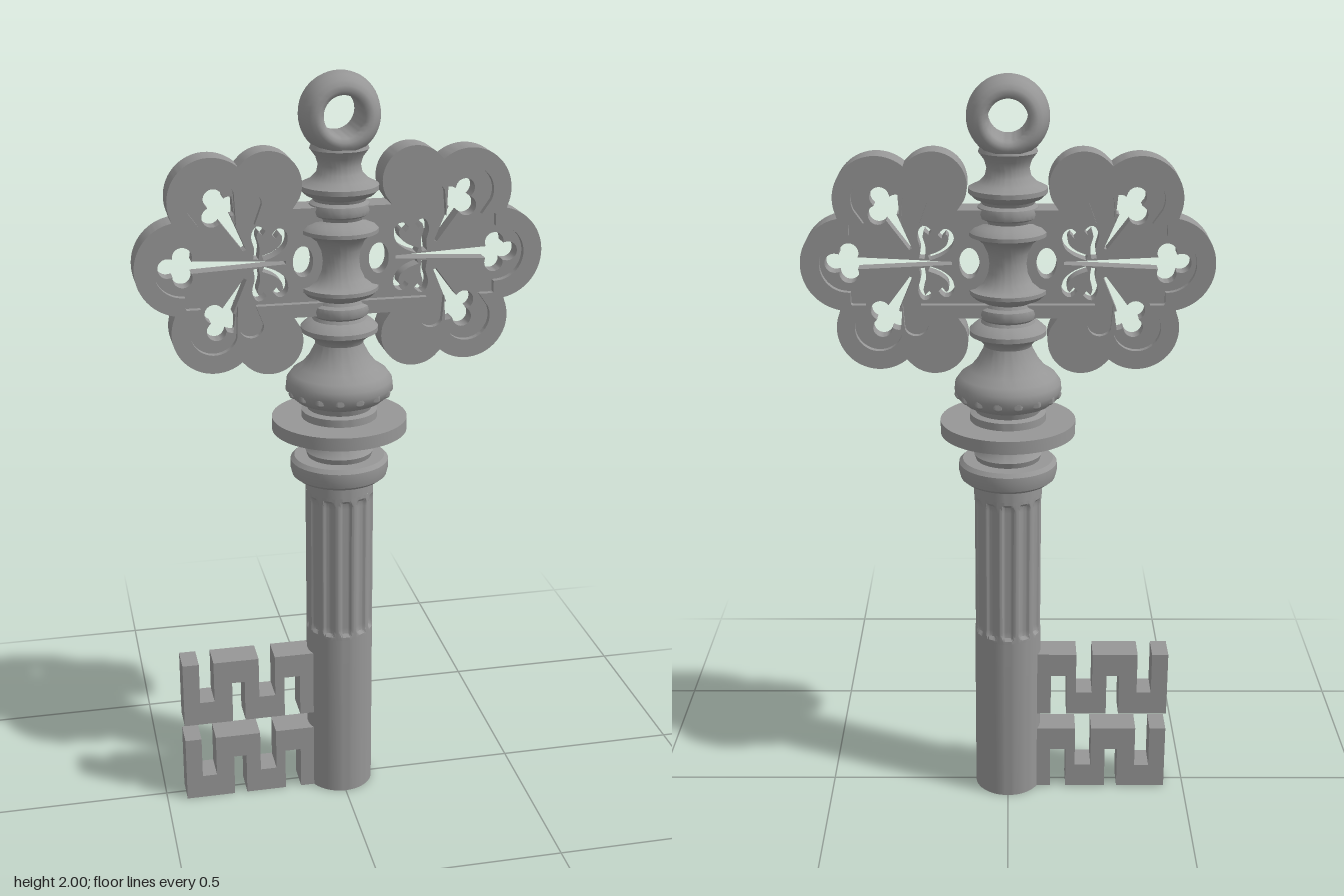
import * as THREE from 'three';
import { toCreasedNormals } from 'three/addons/utils/BufferGeometryUtils.js';

const V = (x, y) => new THREE.Vector2(x, y);
const material = new THREE.MeshStandardMaterial({ color: 0x969696 });

function addMesh(parent, name, geometry, crease = 0.6) {
  const mesh = new THREE.Mesh(toCreasedNormals(geometry, crease), material);
  mesh.name = name;
  parent.add(mesh);
  return mesh;
}

// Extrusion centred on z = 0
function slab(shape, depth) {
  const g = new THREE.ExtrudeGeometry(shape, { depth, bevelEnabled: false });
  return g.translate(0, 0, -depth / 2);
}

// Distance from centre c along angle a to the far side of a union of circles [x, y, r] and a box
function reach(c, a, circles, box) {
  const dx = Math.cos(a), dy = Math.sin(a);
  let best = 0;
  for (const [x, y, r] of circles) {
    const px = x - c.x, py = y - c.y;
    const along = px * dx + py * dy, q = along * along - px * px - py * py + r * r;
    if (q > 0) best = Math.max(best, along + Math.sqrt(q));
  }
  if (box) {
    const tx = ((dx > 0 ? box.x1 : box.x0) - c.x) / dx;
    const ty = ((dy > 0 ? box.h : -box.h) - c.y) / dy;
    best = Math.max(best, Math.min(Math.abs(tx), Math.abs(ty)));
  }
  return best;
}

function unionOutline(c, circles, box, a0 = 0, a1 = Math.PI * 2, n = 240) {
  const pts = [];
  for (let i = 0; i < n; i++) {
    const a = a0 + ((a1 - a0) * (i + 0.5)) / n, r = reach(c, a, circles, box);
    pts.push(V(c.x + r * Math.cos(a), c.y + r * Math.sin(a)));
  }
  return pts;
}

// Three-lobed opening with a straight stem running back from it
function trefoil(x, y, dir, stem) {
  const lobes = [[x, y, 0.016]];
  for (const t of [0, 1.9, -1.9]) {
    lobes.push([x + 0.028 * Math.cos(dir + t), y + 0.028 * Math.sin(dir + t), 0.025]);
  }
  const pts = unionOutline(V(x, y), lobes, null, dir - Math.PI + 0.4, dir + Math.PI - 0.4, 48);
  const ex = x - stem * Math.cos(dir), ey = y - stem * Math.sin(dir);
  const nx = -Math.sin(dir) * 0.004, ny = Math.cos(dir) * 0.004;
  pts.push(V(ex + nx, ey + ny), V(ex - nx, ey - ny));
  return pts;
}

// Narrow opening that follows a curve
function stroke(points, width) {
  const curve = new THREE.SplineCurve(points.map(([x, y]) => V(x, y)));
  const left = [], right = [];
  for (let i = 0; i <= 16; i++) {
    const p = curve.getPoint(i / 16), t = curve.getTangent(i / 16);
    left.push(V(p.x - t.y * width, p.y + t.x * width));
    right.unshift(V(p.x + t.y * width, p.y - t.x * width));
  }
  return left.concat(right);
}

// Counter-clockwise copy of a loop, mirrored when side is -1
function sided(pts, side) {
  const out = pts.map(p => V(p.x * side, p.y));
  return THREE.ShapeUtils.isClockWise(out) ? out.reverse() : out;
}

function createWing(side) {
  const wing = new THREE.Group();
  wing.name = side > 0 ? 'leftWing' : 'rightWing';
  const c = V(0.27, 0);
  const outline = unionOutline(c, [
    [0.405, 0, 0.12], [0.33, 0.167, 0.108], [0.33, -0.167, 0.108],
    [0.188, 0.2, 0.086], [0.188, -0.2, 0.086],
  ], { x0: 0.01, x1: 0.4, h: 0.14 });
  const recess = unionOutline(c, [
    [0.405, 0, 0.072], [0.33, 0.165, 0.062], [0.33, -0.165, 0.062],
    [0.235, 0.155, 0.032], [0.235, -0.155, 0.032],
  ], { x0: 0.02, x1: 0.4, h: 0.105 });

  // Raised border
  const rim = new THREE.Shape(sided(outline, side));
  rim.holes.push(new THREE.Path(sided(recess, side)));
  addMesh(wing, 'wingRim', slab(rim, 0.08));

  // Pierced inner panel
  const panel = new THREE.Shape(sided(recess, side));
  const cut = pts => panel.holes.push(new THREE.Path(sided(pts, side)));
  cut(trefoil(0.412, 0, 0, 0.27));
  cut(new THREE.EllipseCurve(0.098, 0, 0.026, 0.04).getPoints(24).slice(0, -1));
  for (const m of [1, -1]) {
    cut(trefoil(0.308, 0.145 * m, 1.05 * m, 0.125));
    cut(stroke([[0.218, 0.012 * m], [0.215, 0.04 * m], [0.222, 0.07 * m], [0.212, 0.09 * m], [0.196, 0.078 * m]], 0.007));
    cut(stroke([[0.2, 0.014 * m], [0.17, 0.026 * m], [0.148, 0.045 * m], [0.144, 0.07 * m], [0.158, 0.082 * m], [0.172, 0.068 * m]], 0.007));
  }
  addMesh(wing, 'wingPanel', slab(panel, 0.044));
  wing.position.y = 1.53;
  return wing;
}

// Barrel-shaped hanging ring, thinner towards the top
function createRing() {
  const half = [[0.05, -0.06], [0.053, -0.07], [0.062, -0.077], [0.074, -0.075], [0.086, -0.065], [0.097, -0.04], [0.104, 0]];
  const upper = half.slice(0, -1).reverse().map(([r, z]) => [r, -z]);
  const profile = [[0.05, 0.06], ...half, ...upper].map(([r, z]) => V(r, z));
  const g = new THREE.LatheGeometry(profile, 48).rotateX(Math.PI / 2);
  const p = g.attributes.position;
  for (let i = 0; i < p.count; i++) p.setZ(i, p.getZ(i) * (0.92 - 1.5 * p.getY(i)));
  return g.translate(0, 1.896, 0);
}

// Shaft section with round-ended grooves
function createFlutes() {
  const pts = [];
  for (let i = 0; i <= 50; i++) pts.push(V(0.091, 0.48 + (0.42 * i) / 50));
  const g = new THREE.LatheGeometry(pts, 144);
  const p = g.attributes.position, step = Math.PI / 6, width = 0.016;
  for (let i = 0; i < p.count; i++) {
    const a = Math.atan2(p.getZ(i), p.getX(i));
    const u = (a - Math.round(a / step) * step) * 0.09;
    const v = Math.max(0, Math.abs(p.getY(i) - 0.69) - 0.185);
    const d = Math.hypot(u, v) / width;
    const k = d < 1 ? 1 - (0.01 * Math.sqrt(1 - d * d)) / 0.09 : 1;
    p.setX(i, p.getX(i) * k);
    p.setZ(i, p.getZ(i) * k);
  }
  return g;
}

export function createModel() {
  const key = new THREE.Group();
  key.name = 'ornateKey';
  const lathe = (name, pts) =>
    addMesh(key, name, new THREE.LatheGeometry(pts.map(([r, y]) => V(r, y)), 64));

  // Hollow shaft
  lathe('shaft', [[0, 0.3], [0.055, 0.3], [0.055, 0], [0.091, 0], [0.091, 0.48]]);
  addMesh(key, 'flutedShaft', createFlutes(), 0.5);

  // Collar, disc and bell
  lathe('collar', [
    [0.091, 0.9], [0.091, 0.936], [0.115, 0.936], [0.126, 0.945], [0.131, 0.965], [0.13, 0.985], [0.12, 0.995],
    [0.085, 0.995], [0.09, 1.01], [0.075, 1.025], [0.07, 1.04], [0.08, 1.055], [0.095, 1.07],
    [0.178, 1.07], [0.178, 1.105], [0.1, 1.105], [0.1, 1.125], [0.085, 1.13], [0.09, 1.145],
    [0.115, 1.155], [0.132, 1.17], [0.14, 1.19], [0.138, 1.21], [0.125, 1.228], [0.1, 1.245],
    [0.08, 1.27], [0.064, 1.3], [0.06, 1.32],
  ]);

  // Turned stem, symmetric about its waist
  const upper = [
    [0.052, 0], [0.055, 0.025], [0.066, 0.05], [0.085, 0.066], [0.1, 0.07], [0.1, 0.08], [0.088, 0.092], [0.072, 0.098],
    [0.062, 0.104], [0.066, 0.112], [0.077, 0.118], [0.08, 0.13], [0.076, 0.143], [0.066, 0.15],
    [0.07, 0.158], [0.086, 0.165], [0.1, 0.178], [0.1, 0.19],
  ];
  const lower = upper.slice(1).reverse().map(([r, y]) => [r, -y]);
  lathe('stem', [
    [0.06, 1.3], [0.064, 1.315], [0.078, 1.328],
    ...[...lower, ...upper].map(([r, y]) => [r, y + 1.53]),
    [0.075, 1.732], [0.058, 1.75], [0.054, 1.77], [0.06, 1.79], [0.075, 1.81], [0.07, 1.822], [0, 1.83],
  ]);

  // Beads sunk into the bell
  const beads = new THREE.Group();
  beads.name = 'beads';
  for (let i = 0; i < 16; i++) {
    const a = ((i + 0.5) * Math.PI) / 8;
    addMesh(beads, 'bead', new THREE.SphereGeometry(0.015, 12, 8), 1.2)
      .position.set(0.127 * Math.cos(a), 1.182, 0.127 * Math.sin(a));
  }
  key.add(beads);

  addMesh(key, 'hangingRing', createRing(), 0.9);
  key.add(createWing(1), createWing(-1));

  // Two meander-shaped bits
  const bit = new THREE.Shape([
    [-0.445, 0], [-0.31, 0], [-0.31, 0.12], [-0.275, 0.12], [-0.275, 0], [-0.164, 0], [-0.164, 0.12],
    [-0.12, 0.12], [-0.12, 0], [-0.07, 0], [-0.07, 0.187], [-0.19, 0.187], [-0.19, 0.068],
    [-0.235, 0.068], [-0.235, 0.187], [-0.36, 0.187], [-0.36, 0.068], [-0.4, 0.068],
    [-0.4, 0.187], [-0.445, 0.187],
  ].map(([x, y]) => V(x, y)));
  addMesh(key, 'lowerBit', slab(bit, 0.08));
  addMesh(key, 'upperBit', slab(bit, 0.08)).position.y = 0.235;
  return key;
}
